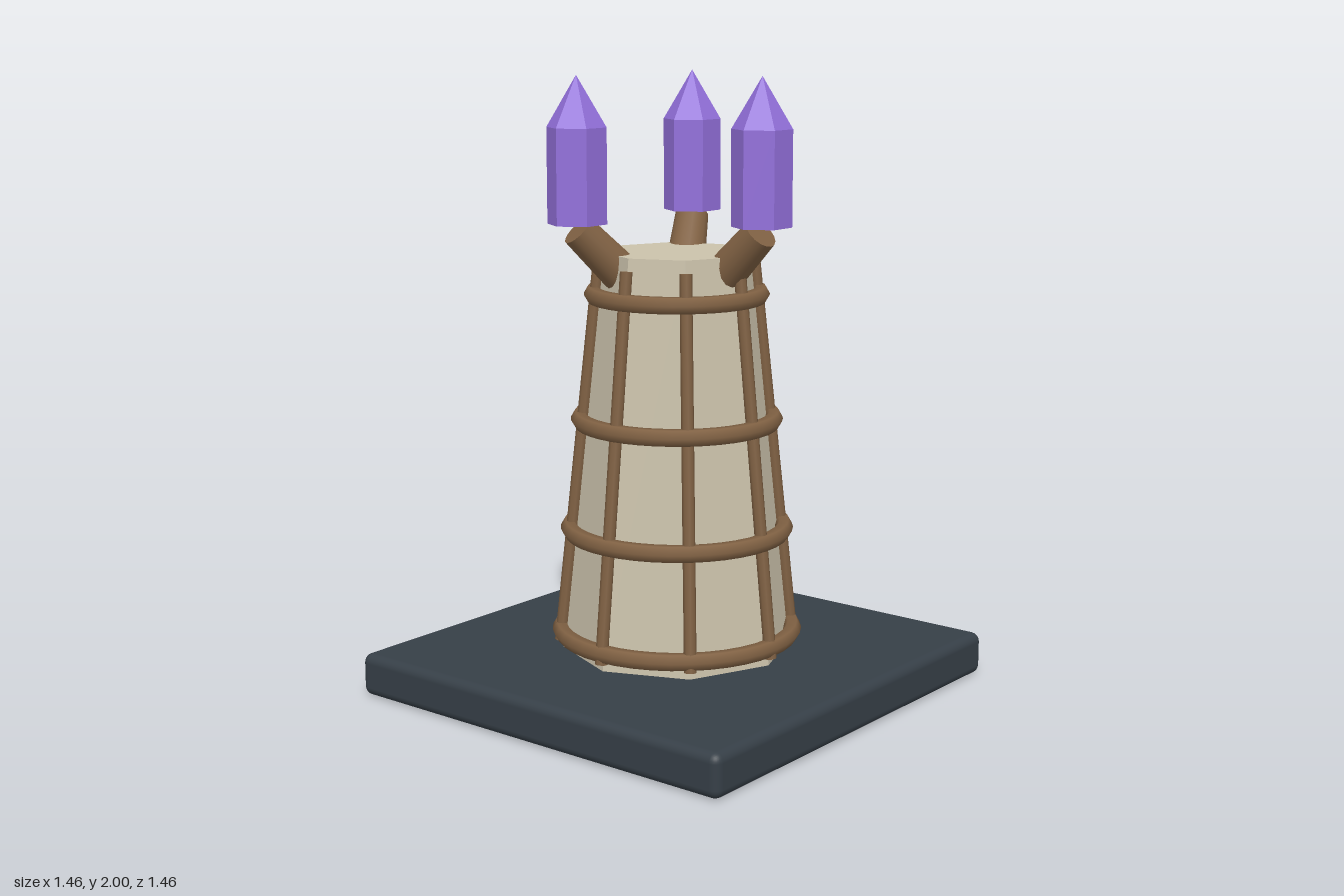
import * as THREE from 'three';
import { RoundedBoxGeometry } from 'three/addons/geometries/RoundedBoxGeometry.js';

const material = (name, color, flatShading = false) => {
  const m = new THREE.MeshStandardMaterial({ color, flatShading });
  m.name = name;
  return m;
};

export function createModel() {
  const model = new THREE.Group();
  model.name = 'crystalTower';
  const slate = material('slate', 0x363f47);
  const stone = material('stone', 0xcbc2ab, true);
  const wood = material('wood', 0x806143);
  const crystal = material('crystal', 0x9370db, true);

  const add = (name, geometry, mat, parent = model) => {
    const mesh = new THREE.Mesh(geometry, mat);
    mesh.name = name;
    parent.add(mesh);
    return mesh;
  };

  // Tapered round bar between two points
  const bar = (name, from, to, r0, r1, sides, parent) => {
    const dir = to.clone().sub(from);
    const mesh = add(name, new THREE.CylinderGeometry(r1, r0, dir.length(), sides), wood, parent);
    mesh.position.copy(from).add(to).multiplyScalar(0.5);
    mesh.quaternion.setFromUnitVectors(new THREE.Vector3(0, 1, 0), dir.normalize());
  };
  const polar = (r, y, a) => new THREE.Vector3(r * Math.cos(a), y, r * Math.sin(a));

  // Square plinth with softened edges
  add('plinth', new RoundedBoxGeometry(1.46, 0.14, 1.46, 3, 0.03), slate).position.y = 0.07;

  // Eight-sided tapering tower
  add('tower', new THREE.CylinderGeometry(0.24, 0.375, 1.3, 8), stone).position.y = 0.79;

  // Wooden ribs along the tower corners
  const ribs = new THREE.Group();
  ribs.name = 'ribs';
  model.add(ribs);
  for (let i = 0; i < 8; i++) {
    const a = (i * Math.PI) / 4;
    bar('rib', polar(0.382, 0.165, a), polar(0.25, 1.4, a), 0.02, 0.02, 8, ribs);
  }

  // Wooden hoops: [height, radius]
  for (const [y, r] of [[0.2, 0.38], [0.54, 0.35], [0.9, 0.314], [1.305, 0.269]]) {
    const hoop = add('hoop', new THREE.TorusGeometry(r, 0.029, 6, 40), wood);
    hoop.rotation.x = Math.PI / 2;
    hoop.position.y = y;
  }

  // Three slanted branches, each carrying an upright crystal
  for (let i = 0; i < 3; i++) {
    const a = (i * Math.PI * 2) / 3;
    const arm = new THREE.Group();
    arm.name = 'crystalArm';
    model.add(arm);
    bar('branch', polar(0.17, 1.36, a), polar(0.331, 1.521, a), 0.065, 0.055, 16, arm);
    const shaft = add('crystalShaft', new THREE.CylinderGeometry(0.095, 0.095, 0.3, 6), crystal, arm);
    shaft.position.copy(polar(0.333, 1.69, a));
    const tip = add('crystalTip', new THREE.ConeGeometry(0.095, 0.16, 6, 1, true), crystal, arm);
    tip.position.copy(polar(0.333, 1.92, a));
  }
  return model;
}
